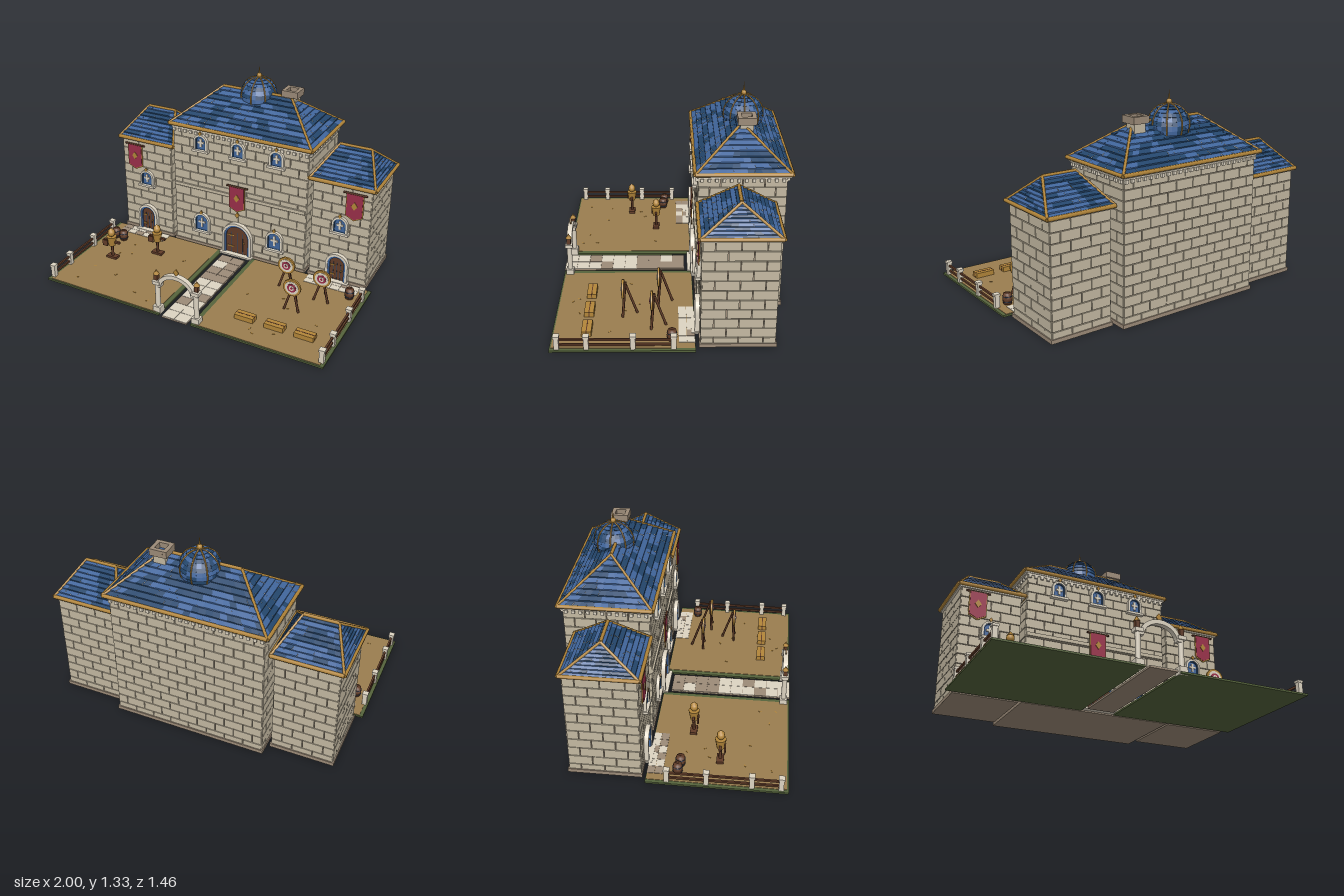
import * as THREE from 'three';
import { mergeGeometries } from 'three/addons/utils/BufferGeometryUtils.js';

const mat = (name, color) => Object.assign(new THREE.MeshStandardMaterial({ color }), { name });
const M = {
  stone: mat('wall stone', 0xc4b9a2), cream: mat('trim stone', 0xddd4c2), tan: mat('dark stone', 0x9c8b78),
  blue: mat('light slate', 0x41669c), navy: mat('dark slate', 0x24466c), gold: mat('gold', 0xb3863a),
  wood: mat('dark wood', 0x613c28), red: mat('crimson', 0x9a2f49), dirt: mat('packed earth', 0x9a7d4f),
  green: mat('grass', 0x56643c),
};
M.blue.side = M.navy.side = THREE.DoubleSide;
const V = (x, y, z) => new THREE.Vector3(x, y, z);
let seed = 7;
const rand = () => (seed = (seed * 16807) % 2147483647) / 2147483647;

function add(parent, name, geo, m, x = 0, y = 0, z = 0) {
  const mesh = new THREE.Mesh(geo, m);
  mesh.name = name;
  mesh.position.set(x, y, z);
  parent.add(mesh);
  return mesh;
}
function group(parent, name, x = 0, y = 0, z = 0) {
  const g = new THREE.Group();
  g.name = name;
  g.position.set(x, y, z);
  parent.add(g);
  return g;
}
const box = (p, name, m, w, h, d, x, y, z) => add(p, name, new THREE.BoxGeometry(w, h, d), m, x, y, z);
function rod(p, name, m, a, b, r, sides = 6) {
  const mesh = add(p, name, new THREE.CylinderGeometry(r, r, a.distanceTo(b), sides), m);
  mesh.position.copy(a).lerp(b, 0.5);
  mesh.quaternion.setFromUnitVectors(V(0, 1, 0), b.clone().sub(a).normalize());
  return mesh;
}

// Overlapping two-tone tiles on any surface at(u, v, lift)
function tiles(p, name, rows, cols, at, lift) {
  const out = [[], []];
  const quad = (o, a, b, c, d) => [a, b, c, a, c, d].forEach((q) => o.push(q.x, q.y, q.z));
  for (let r = 0; r < rows; r++) {
    const v0 = r / rows, v1 = (r + 1) / rows, n = cols(v0);
    let tone = 0;
    for (let c = 0; c < n; c++) {
      if (rand() < 0.5) tone = rand() < 0.52 ? 0 : 1;
      const u0 = c / n, u1 = (c + 1) / n, l = lift * (0.7 + rand() * 0.5);
      quad(out[tone], at(u0, v0, l), at(u1, v0, l), at(u1, v1, 0), at(u0, v1, 0));
      quad(out[tone], at(u0, v0, 0), at(u1, v0, 0), at(u1, v0, l), at(u0, v0, l));
    }
  }
  out.forEach((o, i) => {
    const g = new THREE.BufferGeometry();
    g.setAttribute('position', new THREE.Float32BufferAttribute(o, 3));
    g.computeVertexNormals();
    add(p, name, g, i ? M.navy : M.blue);
  });
}

// Hipped roof with gold ridges and eaves
function roof(parent, name, cx, cz, hw, hd, y0, y1, ridge) {
  const g = group(parent, name, cx, 0, cz);
  const c = [V(-hw, y0, hd), V(hw, y0, hd), V(hw, y0, -hd), V(-hw, y0, -hd)];
  const L = V(-ridge, y1, 0), R = V(ridge, y1, 0);
  [[c[0], c[1], R, L], [c[1], c[2], R, R], [c[2], c[3], L, R], [c[3], c[0], L, L]].forEach(([a, b, e, d]) => {
    const width = (v) => a.distanceTo(b) * (1 - v) + d.distanceTo(e) * v;
    const at = (u, v, l) => {
      const q = a.clone().lerp(b, u).lerp(d.clone().lerp(e, u), v);
      q.y += l;
      return q;
    };
    tiles(g, 'roofTiles', 9, (v) => Math.max(1, Math.round(width(v) / 0.045)), at, 0.008);
    rod(g, 'eaveTrim', M.gold, a, b, 0.013);
  });
  [L, R, R, L].forEach((e, i) => rod(g, 'hipTrim', M.gold, c[i], e, 0.009));
  rod(g, 'ridgeTrim', M.gold, L, R, 0.011);
  box(g, 'soffit', M.cream, hw * 2 - 0.01, 0.016, hd * 2 - 0.01, 0, y0 - 0.012, 0);
}

// Bricks in running bond over a dark mortar core
function brickBlock(parent, name, cx, cz, w, d, h) {
  const g = group(parent, name, cx, 0, cz);
  box(g, 'mortarCore', M.tan, w - 0.012, h, d - 0.012, 0, h / 2, 0);
  box(g, 'plinth', M.tan, w + 0.02, 0.025, d + 0.02, 0, 0.0125, 0);
  const rows = Math.round(h / 0.063), rh = h / rows, gap = 0.005, geos = [];
  for (let r = 0; r < rows; r++) {
    for (let face = 0; face < 4; face++) {
      const len = face % 2 ? d : w, off = (face % 2 ? w : d) / 2;
      const n = Math.round(len / 0.13), bl = len / n, odd = (r + face) % 2;
      for (let i = 0; i < n + odd; i++) {
        const a = Math.max(-len / 2, -len / 2 + (i - odd / 2) * bl);
        const b = Math.min(len / 2, -len / 2 + (i + 1 - odd / 2) * bl);
        const e = new THREE.BoxGeometry(b - a - gap, rh - gap, 0.012);
        e.translate((a + b) / 2, (r + 0.5) * rh, off - 0.004 + rand() * 0.002);
        geos.push(e.rotateY(face * Math.PI / 2));
      }
    }
  }
  add(g, 'bricks', mergeGeometries(geos), M.stone);
}

// Flat shapes standing on y = 0, facing +z
function archShape(w, h) {
  const s = new THREE.Shape(), r = w / 2;
  s.moveTo(-r, 0).lineTo(r, 0).lineTo(r, h - r);
  s.absarc(0, h - r, r, 0, Math.PI, false);
  return s.lineTo(-r, 0);
}
const polygon = (...p) => new THREE.Shape(p.map(([x, y]) => new THREE.Vector2(x, y)));
const plate = (p, name, m, shape, depth, x, y, z) =>
  add(p, name, new THREE.ExtrudeGeometry(shape, { depth, bevelEnabled: false, curveSegments: 10 }), m, x, y, z);
const diamond = (p, r, x, y, z) =>
  plate(p, 'goldDiamond', M.gold, polygon([0, -r * 1.3], [r, 0], [0, r * 1.3], [-r, 0]), 0.008, x, y, z);
function archFrame(p, m, w, h, t, depth, z) {
  const s = archShape(w + 2 * t, h + t);
  s.holes.push(archShape(w, h));
  plate(p, 'archFrame', m, s, depth, 0, 0, z);
}

function windowUnit(parent, x, y, z, w, h) {
  const g = group(parent, 'window', x, y, z);
  plate(g, 'pane', M.blue, archShape(w, h), 0.008, 0, 0, 0);
  archFrame(g, M.navy, w - 0.014, h - 0.007, 0.007, 0.016, 0);
  archFrame(g, M.cream, w, h, 0.013, 0.022, 0);
  box(g, 'mullion', M.cream, 0.014, h * 0.6, 0.008, 0, h * 0.5, 0.011);
  box(g, 'crossbar', M.cream, w * 0.55, 0.014, 0.008, 0, h * 0.52, 0.011);
  box(g, 'sill', M.cream, w + 0.045, 0.016, 0.035, 0, -0.008, 0.014);
  diamond(g, 0.013, 0, h + 0.022, 0.018);
}
function doorUnit(parent, x, z, w, h) {
  const g = group(parent, 'door', x, 0.015, z);
  plate(g, 'doorLeaf', M.wood, archShape(w, h), 0.012, 0, 0, 0);
  for (let i = -1; i <= 1; i++) box(g, 'plankLine', M.navy, 0.003, h * 0.75, 0.004, i * w * 0.25, h * 0.4, 0.012);
  for (const f of [0.25, 0.65]) box(g, 'hinge', M.gold, w * 0.3, 0.008, 0.006, -w * 0.3, h * f, 0.013);
  add(g, 'doorKnob', new THREE.SphereGeometry(0.006, 8, 6), M.gold, w * 0.32, h * 0.45, 0.016);
  archFrame(g, M.blue, w, h, 0.013, 0.024, 0);
  archFrame(g, M.cream, w + 0.026, h + 0.013, 0.016, 0.03, 0);
  box(g, 'doorStep', M.cream, w + 0.08, 0.012, 0.05, 0, 0, 0.025);
}
function banner(parent, x, top, z) {
  const g = group(parent, 'banner', x, top, z);
  const cloth = (k) => polygon([-k, -0.004], [-k, -0.165 + (0.06 - k)], [0, -0.195 + (0.06 - k) * 1.5], [k, -0.165 + (0.06 - k)], [k, -0.004]);
  plate(g, 'bannerHem', M.gold, cloth(0.06), 0.006, 0, 0, 0);
  plate(g, 'bannerCloth', M.red, cloth(0.054), 0.006, 0, 0, 0.003);
  diamond(g, 0.022, 0, -0.085, 0.006);
  rod(g, 'bannerRod', M.wood, V(-0.08, 0, 0.003), V(0.08, 0, 0.003), 0.007);
}

function trainingDummy(parent, x, z) {
  const g = group(parent, 'trainingDummy', x, 0.015, z);
  box(g, 'foot', M.wood, 0.08, 0.016, 0.045, 0, 0.008, 0);
  rod(g, 'post', M.wood, V(0, 0, 0), V(0, 0.2, 0), 0.01);
  box(g, 'arms', M.wood, 0.13, 0.016, 0.016, 0, 0.13, 0);
  add(g, 'strawBody', new THREE.CylinderGeometry(0.036, 0.024, 0.07, 10), M.gold, 0, 0.135, 0);
  add(g, 'strawHead', new THREE.SphereGeometry(0.026, 10, 8), M.gold, 0, 0.195, 0);
  add(g, 'cap', new THREE.ConeGeometry(0.024, 0.025, 10), M.gold, 0, 0.226, 0);
  box(g, 'shield', M.wood, 0.04, 0.045, 0.01, -0.035, 0.125, 0.03);
}
function archeryTarget(parent, x, z) {
  const g = group(parent, 'archeryTarget', x, 0.015, z);
  [[0.06, M.gold], [0.046, M.cream], [0.03, M.red], [0.017, M.cream], [0.008, M.red]].forEach(([r, m], i) => {
    add(g, 'targetRing', new THREE.CylinderGeometry(r, r, 0.014, 20), m, 0, 0.175, 0.012 + i * 0.002).rotation.x = Math.PI / 2;
  });
  for (const s of [-1, 1]) rod(g, 'frontLeg', M.wood, V(s * 0.05, 0, 0.015), V(-s * 0.012, 0.22, -0.003), 0.008);
  rod(g, 'backLeg', M.wood, V(0, 0, -0.075), V(0, 0.21, -0.004), 0.008);
}
function barrel(parent, x, z) {
  const g = group(parent, 'barrel', x, 0.015, z);
  const prof = [[0, 0], [0.026, 0], [0.032, 0.035], [0.026, 0.07], [0, 0.07]].map(([a, b]) => new THREE.Vector2(a, b));
  add(g, 'staves', new THREE.LatheGeometry(prof, 12), M.wood);
  for (const y of [0.018, 0.052]) add(g, 'hoop', new THREE.TorusGeometry(0.03, 0.002, 5, 12), M.navy, 0, y, 0).rotation.x = Math.PI / 2;
}

export function createModel() {
  const root = new THREE.Group();
  root.name = 'trainingHall';

  // Main block, cornice and string course
  const hall = group(root, 'mainHall');
  brickBlock(hall, 'mainWalls', 0, -0.425, 1.01, 0.53, 0.9);
  box(hall, 'cornice', M.cream, 1.03, 0.02, 0.55, 0, 0.905, -0.425);
  for (const s of [-1, 1]) {
    for (let i = 0; i < 24; i++) box(hall, 'dentil', M.cream, 0.02, 0.022, 0.018, -0.495 + i * 0.043, 0.885, -0.425 + s * 0.273);
    for (let i = 0; i < 12; i++) box(hall, 'dentil', M.cream, 0.018, 0.022, 0.02, s * 0.513, 0.885, -0.67 + i * 0.0445);
  }
  box(hall, 'stringCourse', M.stone, 1.0, 0.024, 0.02, 0, 0.468, -0.155);
  roof(hall, 'mainRoof', 0, -0.43, 0.532, 0.29, 0.927, 1.15, 0.255);
  for (const x of [-0.285, 0, 0.285]) windowUnit(hall, x, 0.77, -0.158, 0.08, 0.1);
  for (const x of [-0.285, 0.285]) windowUnit(hall, x, 0.135, -0.158, 0.1, 0.125);
  doorUnit(hall, 0, -0.158, 0.17, 0.22);
  diamond(hall, 0.018, 0, 0.33, -0.145);
  banner(hall, 0, 0.552, -0.14);

  // Ribbed dome and finial
  const dome = group(root, 'dome', 0, 1.12, -0.46);
  const domeAt = (u, v, l) => {
    const a = u * Math.PI * 2, e = -0.42 + v * (Math.PI / 2 + 0.42), r = 0.122 + l;
    return V(Math.sin(a) * Math.cos(e) * r, Math.sin(e) * r, Math.cos(a) * Math.cos(e) * r);
  };
  tiles(dome, 'domeTiles', 9, () => 24, domeAt, 0.006);
  for (let i = 0; i < 8; i++) {
    const pts = [0, 0.2, 0.4, 0.6, 0.8, 1].map((v) => domeAt(i / 8, v, 0.005));
    add(dome, 'domeRib', new THREE.TubeGeometry(new THREE.CatmullRomCurve3(pts), 12, 0.005, 5), M.gold);
  }
  add(dome, 'finialBall', new THREE.SphereGeometry(0.018, 10, 8), M.gold, 0, 0.137, 0);
  add(dome, 'finialSpike', new THREE.ConeGeometry(0.008, 0.07, 8), M.gold, 0, 0.175, 0);

  // Open chimney
  const chimney = group(root, 'chimney', 0.25, 0, -0.46);
  box(chimney, 'shaft', M.stone, 0.08, 0.13, 0.08, 0, 1.09, 0);
  for (const s of [-1, 1]) {
    box(chimney, 'capSide', M.tan, 0.026, 0.045, 0.115, s * 0.045, 1.177, 0);
    box(chimney, 'capEnd', M.tan, 0.064, 0.045, 0.026, 0, 1.177, s * 0.045);
  }
  box(chimney, 'flue', M.blue, 0.064, 0.008, 0.064, 0, 1.16, 0);

  for (const s of [-1, 1]) {
    // Side wings
    const wing = group(root, s > 0 ? 'leftWing' : 'rightWing');
    brickBlock(wing, 'wingWalls', s * 0.743, -0.39, 0.4, 0.44, 0.715);
    roof(wing, 'wingRoof', s * 0.74, -0.39, 0.225, 0.235, 0.735, 0.91, 0.11);
    windowUnit(wing, s * 0.745, 0.39, -0.168, 0.085, 0.1);
    doorUnit(wing, s * 0.745, -0.168, 0.1, 0.18);
    banner(wing, s * 0.835, 0.692, -0.158);

    // Training yard with patio
    const yard = group(root, s > 0 ? 'leftYard' : 'rightYard');
    box(yard, 'lawn', M.green, 0.885, 0.012, 0.865, s * 0.5575, 0.006, 0.2925);
    box(yard, 'earth', M.dirt, 0.83, 0.006, 0.85, s * 0.562, 0.012, 0.29);
    for (let i = 0; i < 6; i++) for (let j = 0; j < 2; j++) {
      box(yard, 'patioSlab', rand() < 0.3 ? M.tan : M.cream, 0.06, 0.006, 0.048, s * (0.585 + i * 0.062), 0.015, -0.115 + j * 0.05);
    }
    for (let i = 0; i < 10; i++) {
      box(yard, 'strawWisp', M.gold, 0.02, 0.003, 0.006, s * (0.25 + rand() * 0.65), 0.016, 0.05 + rand() * 0.6).rotation.y = rand() * 3;
    }

    // Side fence
    const fence = group(root, 'fence', s * 0.975, 0, 0);
    for (const z of [-0.01, 0.23, 0.505, 0.68]) {
      box(fence, 'fencePost', M.cream, 0.03, 0.09, 0.03, 0, 0.05, z);
      box(fence, 'postCap', M.cream, 0.038, 0.014, 0.038, 0, 0.098, z);
    }
    for (const y of [0.04, 0.075]) box(fence, 'fenceRail', M.wood, 0.012, 0.013, 0.69, 0, y, 0.335);
  }

  // Paved path
  const path = group(root, 'path');
  box(path, 'pathBed', M.tan, 0.18, 0.01, 0.82, 0, 0.005, 0.32);
  for (let i = 0; i < 10; i++) for (const s of [-1, 1]) {
    box(path, 'pathSlab', rand() < 0.35 ? M.tan : M.cream, 0.088, 0.006, 0.08, s * 0.045, 0.011, -0.049 + i * 0.082);
  }

  // Gate arch
  const gate = group(root, 'gate', 0, 0, 0.685);
  for (const s of [-1, 1]) {
    box(gate, 'pillarBase', M.cream, 0.055, 0.05, 0.05, s * 0.14, 0.025, 0);
    rod(gate, 'pillar', M.cream, V(s * 0.14, 0.04, 0), V(s * 0.14, 0.22, 0), 0.017, 12);
    box(gate, 'pillarCap', M.cream, 0.052, 0.024, 0.048, s * 0.14, 0.228, 0);
    box(gate, 'lantern', M.wood, 0.026, 0.04, 0.026, s * 0.145, 0.265, 0);
    add(gate, 'lanternTop', new THREE.ConeGeometry(0.022, 0.035, 6), M.gold, s * 0.145, 0.302, 0);
  }
  const arch = new THREE.Shape();
  arch.absellipse(0, 0, 0.135, 0.115, 0, Math.PI, false, 0);
  arch.absellipse(0, 0, 0.108, 0.088, Math.PI, 0, true, 0);
  plate(gate, 'arch', M.cream, arch, 0.034, 0, 0.2, -0.017);
  diamond(gate, 0.02, 0, 0.335, -0.004);

  // Yard equipment
  trainingDummy(root, -0.76, 0.3);
  trainingDummy(root, -0.505, 0.11);
  for (const [x, z] of [[0.48, 0.07], [0.745, 0.11], [0.615, 0.29]]) archeryTarget(root, x, z);
  for (const [x, z] of [[-0.9, 0.05], [-0.83, 0.06], [0.895, 0]]) barrel(root, x, z);
  for (const x of [0.395, 0.6, 0.8]) {
    box(root, 'strawBale', M.gold, 0.128, 0.035, 0.06, x, 0.03, 0.515);
    box(root, 'baleStrap', M.wood, 0.13, 0.037, 0.006, x, 0.03, 0.515);
  }
  return root;
}
